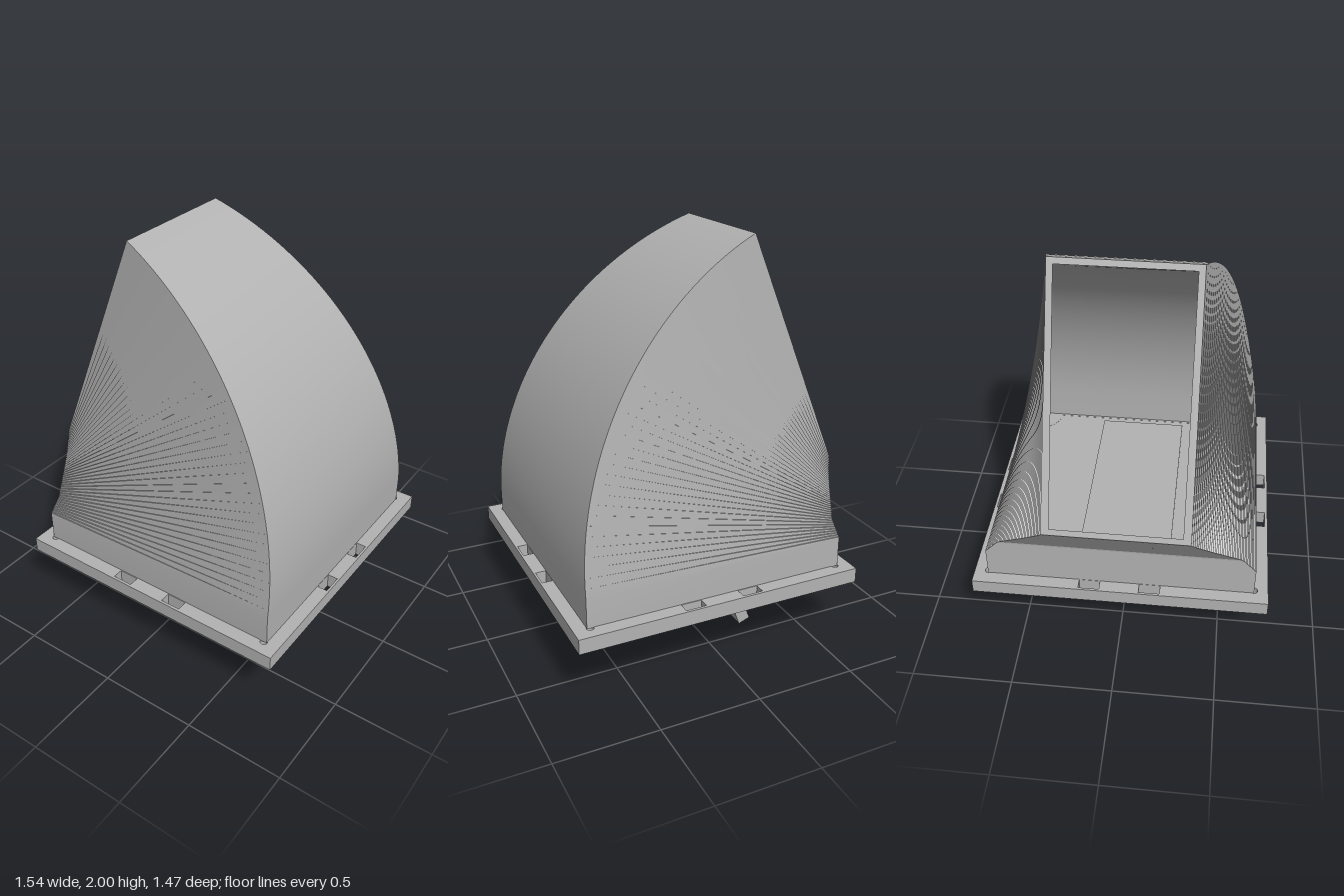
import * as THREE from 'three';
import { toCreasedNormals } from 'three/addons/utils/BufferGeometryUtils.js';

const CX = -0.887, CY = 0.524;            // axis of the bend
const BEND = THREE.MathUtils.degToRad(67.9);
const R_OUT = 1.592, WALL = 0.03, STEPS = 40;

// Distance from the bend axis to the short side: a vertical wall, then a slanted one
const innerRadius = t => Math.min(0.257 / Math.cos(t), 0.0672 / (0.22 * Math.cos(t) + 0.14 * Math.sin(t)));
const halfWidth = t => 0.665 - 0.325 * Math.pow(t / BEND, 1.06);

// Four corners of a section; wi and wo are the half widths at the short and long side
function section(t, wi, wo, inset) {
  const ro = R_OUT - inset, ri = innerRadius(t) + inset;
  const at = (r, z) => [CX + r * Math.cos(t), CY + r * Math.sin(t), z];
  wi -= inset; wo -= inset;
  return [at(ro, wo), at(ro, -wo), at(ri, -wi), at(ri, wi)];
}

function hoodGeometry() {
  const rings = [];
  const base = inset => section(0, 0.665, 0.665, inset).map(p => [p[0], 0.372, p[2]]);
  // Outside: fan of ridges which fade out towards the long side
  rings.push(base(0));
  for (let i = 0; i < STEPS; i++) {
    const t0 = BEND * i / STEPS, t1 = BEND * (i + 1) / STEPS;
    const w0 = halfWidth(t0), w1 = halfWidth(t1);
    rings.push(section(t0, w0, w0, 0), section(t1, w0, w1, 0));
  }
  rings.push(section(BEND, halfWidth(BEND), halfWidth(BEND), 0));
  // Over the rim of the mouth and back down the inside
  for (let i = STEPS; i >= 0; i--) {
    const t = BEND * i / STEPS, w = halfWidth(t);
    rings.push(section(t, w, w, WALL));
  }
  rings.push(base(WALL));

  const pos = [];
  for (let k = 0; k + 1 < rings.length; k++) {
    for (let j = 0; j < 4; j++) {
      const n = (j + 1) % 4;
      const a = rings[k][j], b = rings[k][n], c = rings[k + 1][n], d = rings[k + 1][j];
      pos.push(...a, ...b, ...c, ...a, ...c, ...d);
    }
  }
  const g = new THREE.BufferGeometry();
  g.setAttribute('position', new THREE.Float32BufferAttribute(pos, 3));
  return toCreasedNormals(g, 0.3);
}

function rectPath(cls, x0, y0, x1, y1) {
  return new cls([[x0, y0], [x1, y0], [x1, y1], [x0, y1]].map(p => new THREE.Vector2(...p)));
}

function flangeGeometry() {
  const mx = 0.0375;                       // middle of the flange along x
  const shape = rectPath(THREE.Shape, mx - 0.7325, -0.735, mx + 0.7325, 0.735);
  const hole = (x, y, r) => {
    const p = new THREE.Path();
    p.absarc(x, y, r, 0, Math.PI * 2, true);
    shape.holes.push(p);
  };
  // Slots, two on every side
  for (const s of [-1, 1]) {
    for (const o of [-0.15, 0.15]) {
      const e = s * 0.695;
      shape.holes.push(rectPath(THREE.Path, mx + o - 0.052, e - 0.026, mx + o + 0.052, e + 0.026));
      shape.holes.push(rectPath(THREE.Path, mx + e - 0.026, o - 0.052, mx + e + 0.026, o + 0.052));
    }
    // Screw holes at the corners
    for (const q of [-1, 1]) {
      hole(mx + s * 0.578, q * 0.601, 0.036);
      hole(mx + s * 0.652, q * 0.665, 0.018);
    }
  }
  // Recess with a rounded boss left standing in each corner
  const h = 0.625, r = 0.13, H = Math.PI / 2, recess = new THREE.Path();
  recess.moveTo(mx - h + r, -h);
  recess.lineTo(mx + h - r, -h);
  recess.absarc(mx + h, -h, r, 2 * H, H, true);
  recess.lineTo(mx + h, h - r);
  recess.absarc(mx + h, h, r, 3 * H, 2 * H, true);
  recess.lineTo(mx - h + r, h);
  recess.absarc(mx - h, h, r, 0, -H, true);
  recess.lineTo(mx - h, -h + r);
  recess.absarc(mx - h, -h, r, H, 0, true);
  shape.holes.push(recess);

  const g = new THREE.ExtrudeGeometry(shape, { depth: 0.075, bevelEnabled: false, curveSegments: 16 });
  g.rotateX(-Math.PI / 2);
  g.translate(0, 0.3, 0);
  return g;
}

export function createModel() {
  const grey = new THREE.MeshStandardMaterial({ color: 0xb3b3b3 });
  grey.name = 'grey plastic';
  const model = new THREE.Group();
  model.name = 'ductElbow';
  const add = (name, geometry) => {
    const mesh = new THREE.Mesh(geometry, grey);
    mesh.name = name;
    model.add(mesh);
    return mesh;
  };

  add('hood', hoodGeometry());
  add('flange', flangeGeometry());

  // Floor closing the recess, with a thin panel on top
  add('floorPlate', new THREE.BoxGeometry(1.27, 0.039, 1.27)).position.set(0.0375, 0.3545, 0);
  add('floorPanel', new THREE.BoxGeometry(1.2, 0.008, 0.47)).position.set(0.03, 0.377, 0);

  // Slanted U-shaped bracket underneath
  const u = new THREE.Shape([
    [-0.415, 0], [0.415, 0], [0.415, 0.36], [0.235, 0.36],
    [0.235, 0.185], [-0.235, 0.185], [-0.235, 0.36], [-0.415, 0.36],
  ].map(p => new THREE.Vector2(...p)));
  const g = new THREE.ExtrudeGeometry(u, { depth: 0.063, bevelEnabled: false });
  g.rotateY(Math.PI / 2);
  g.rotateZ(-THREE.MathUtils.degToRad(20));
  add('bracket', g).position.set(-0.28, 0.0215, 0);

  return model;
}
